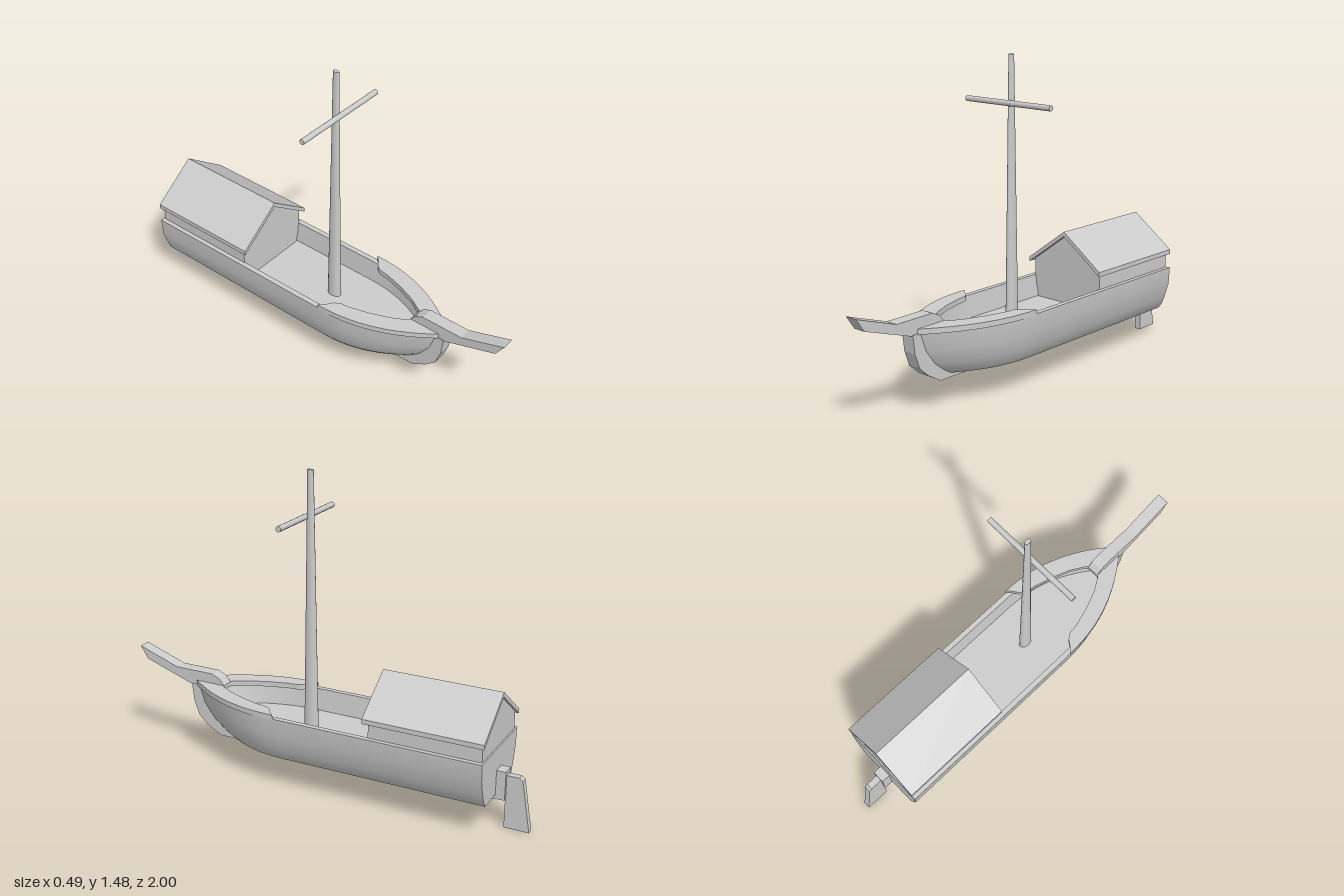
import * as THREE from 'three';
import { toCreasedNormals } from 'three/addons/utils/BufferGeometryUtils.js';

const material = new THREE.MeshStandardMaterial({ color: 0xcccccc });

const shapeOf = (points) => new THREE.Shape(points.map(([x, y]) => new THREE.Vector2(x, y)));

const extrude = (points, depth) =>
  new THREE.ExtrudeGeometry(shapeOf(points), { depth, bevelEnabled: false });

// Side outline given as [z, y], centred on x = 0
const sideProfile = (points, width) =>
  extrude(points, width).translate(0, 0, -width / 2).rotateY(-Math.PI / 2);

// Hull levels from rail to bottom: [y, half width, z where the side meets the stem]
const OUTER = [
  [0.375, 0.215, 0.70], [0.29, 0.21, 0.67], [0.22, 0.188, 0.62],
  [0.18, 0.172, 0.57], [0.155, 0.152, 0.53],
];
const INNER = [[0.27, 0.178, 0.61], [0.375, 0.19, 0.65]];
const STERN = -0.845, SHOULDER = 0.13;

const bowCurve = (u) => 1 - Math.pow(u, 2.2);

// Closed loop of the hull section: outer skin, then rail, inner wall and deck
function hullSection(u) {
  const point = ([y, w, bow], side) => [
    side * (w * bowCurve(Math.max(u, 0)) + 0.003),
    y,
    u < 0 ? STERN : SHOULDER + (bow - SHOULDER) * u,
  ];
  return [
    ...OUTER.map((l) => point(l, 1)),
    ...[...OUTER].reverse().map((l) => point(l, -1)),
    ...[...INNER].reverse().map((l) => point(l, -1)),
    ...INNER.map((l) => point(l, 1)),
  ];
}

function hullGeometry() {
  const stations = [hullSection(-1)];
  const steps = 14;
  for (let i = 0; i <= steps; i++) stations.push(hullSection(Math.pow(i / steps, 0.8)));
  const n = stations[0].length;
  const index = [];
  for (let i = 0; i < stations.length - 1; i++) {
    for (let j = 0; j < n; j++) {
      const a = i * n + j, b = i * n + (j + 1) % n;
      index.push(a, a + n, b + n, a, b + n, b);
    }
  }
  const geometry = new THREE.BufferGeometry();
  geometry.setAttribute('position', new THREE.Float32BufferAttribute(stations.flat(2), 3));
  geometry.setIndex(index);
  return toCreasedNormals(geometry, 0.7);
}

// Raised cap that runs round the bow on top of the hull side
function bowRailGeometry() {
  const outer = [];
  for (let i = 0; i <= 12; i++) {
    const u = i / 12;
    outer.push([0.217 * bowCurve(u) + 0.003, 0.15 + 0.56 * u]);
  }
  const inner = [[0.003, 0.54], [0.04, 0.52], [0.08, 0.45], [0.115, 0.36],
    [0.14, 0.27], [0.147, 0.22], [0.165, 0.195], [0.195, 0.175]];
  return extrude([...outer, ...inner], 0.025).rotateX(Math.PI / 2).translate(0, 0.395, 0);
}

export function createModel() {
  const model = new THREE.Group();
  const add = (name, geometry) => {
    const mesh = new THREE.Mesh(geometry, material);
    mesh.name = name;
    model.add(mesh);
    return mesh;
  };

  // Hull and flat transom
  add('hull', hullGeometry());
  const section = [...OUTER.map(([y, w]) => [w, y]),
    ...[...OUTER].reverse().map(([y, w]) => [-w, y])];
  add('transom', extrude(section, 0.03).translate(0, 0, STERN));

  // Keel sweeping up into the stem
  add('keelAndStem', sideProfile([
    [-0.845, 0.135], [0.55, 0.135], [0.62, 0.175], [0.67, 0.22], [0.695, 0.29], [0.705, 0.375],
    [0.63, 0.375], [0.62, 0.29], [0.58, 0.22], [0.5, 0.175], [-0.845, 0.175],
  ], 0.065));

  // Bow rail, mirrored
  const rail = bowRailGeometry();
  add('leftBowRail', rail);
  add('rightBowRail', rail).scale.x = -1;

  // Bowsprit with its hooked inner end
  add('bowsprit', sideProfile([
    [1, 0.515], [0.79, 0.443], [0.59, 0.443], [0.55, 0.425], [0.525, 0.395],
    [0.525, 0.375], [0.7, 0.368], [0.96, 0.455],
  ], 0.06));

  // Mast, oval in section, with its yard
  const mast = add('mast', new THREE.CylinderGeometry(0.015, 0.035, 1.205, 16));
  mast.scale.x = 0.64;
  mast.position.set(0, 0.8725, 0.07);
  const yard = add('yard', new THREE.CylinderGeometry(0.013, 0.013, 0.49, 12));
  yard.rotation.z = Math.PI / 2;
  yard.position.set(0, 1.265, 0.092);

  // Stern cabin with gable walls and pitched roof
  add('cabin', extrude([
    [-0.197, 0.375], [-0.175, 0.27], [0.175, 0.27], [0.197, 0.375],
    [0.197, 0.46], [0, 0.605], [-0.197, 0.46],
  ], 0.525).translate(0, 0, -0.838));
  add('roof', extrude([
    [-0.213, 0.465], [-0.213, 0.443], [0, 0.6], [0.213, 0.443], [0.213, 0.465], [0, 0.622],
  ], 0.56).translate(0, 0, -0.85));

  // Rudder and its post
  add('rudderPost', new THREE.BoxGeometry(0.06, 0.135, 0.045).translate(0, 0.2025, -0.865));
  add('rudder', sideProfile([
    [-0.885, 0], [-0.885, 0.25], [-0.945, 0.25], [-0.96, 0.237], [-1, 0],
  ], 0.032));

  return model;
}
